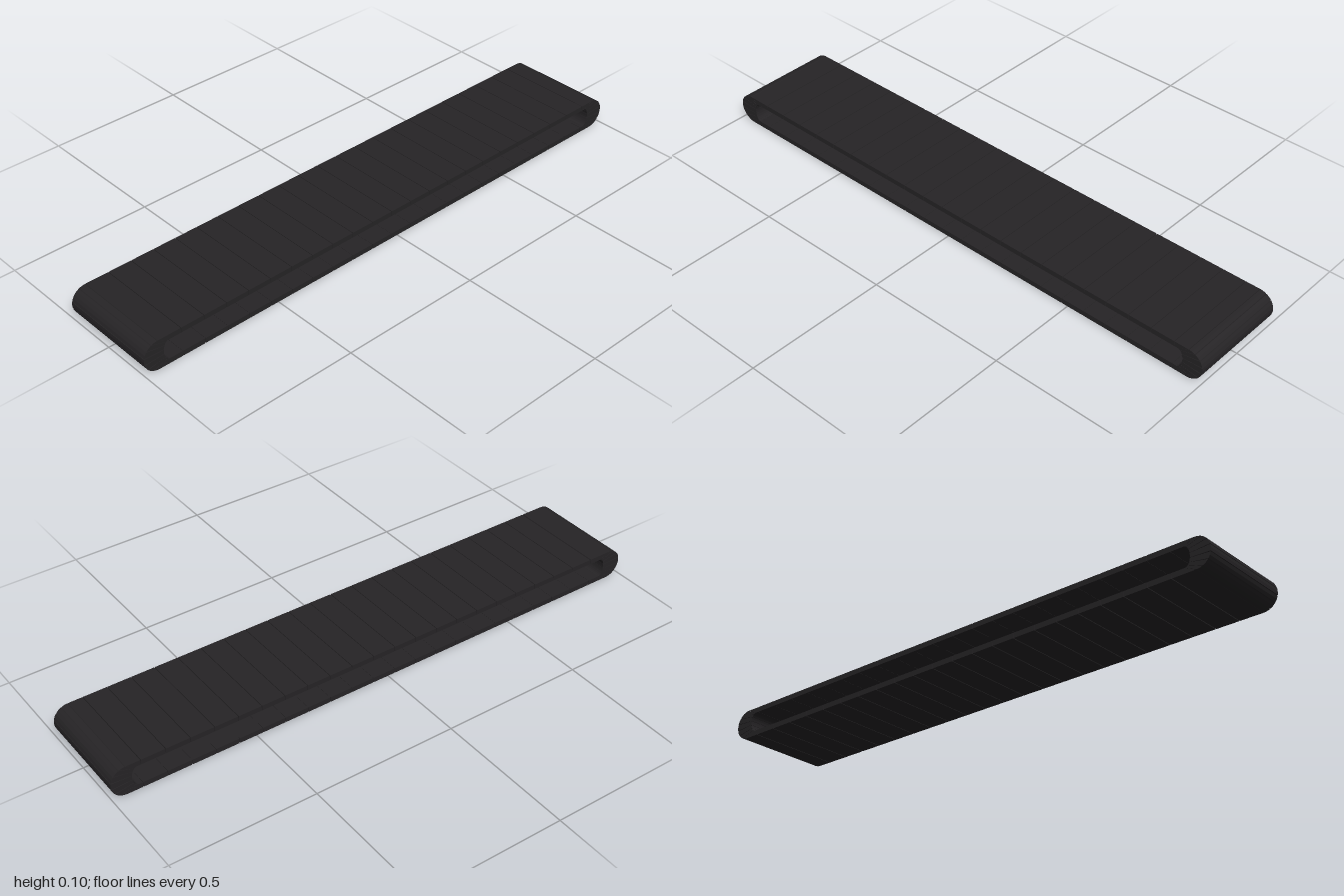
import * as THREE from 'three';

const H = 0.105, R = H / 2;        // loop height and end radius
const T = 0.018;                   // belt thickness on the straights
const END = 1 - R;                 // where the outer straights end
const INNER_END = 0.91;            // where the inner straights end
const INNER_RX = 0.019, INNER_RY = R - T;
const WIDTH = 0.355;               // along z
const PITCH = 0.0838;              // straight plate spacing
const GAP = 0.0012;                // half gap at the outer face of a seam
const ARC_PLATES = 7;

export function createModel() {
  const group = new THREE.Group();
  group.name = 'trackBelt';
  const material = new THREE.MeshStandardMaterial({ color: 0x262426 });

  // One plate: a side outline extruded across the belt width
  function addPlate(name, points) {
    const shape = new THREE.Shape(points.map(([x, y]) => new THREE.Vector2(x, y)));
    const geometry = new THREE.ExtrudeGeometry(shape, { depth: WIDTH, bevelEnabled: false });
    geometry.translate(0, 0, -WIDTH / 2);
    const mesh = new THREE.Mesh(geometry, material);
    mesh.name = name;
    group.add(mesh);
  }

  // Seam positions along the straights; the last plate is a narrow filler
  const seams = [];
  for (let x = -END; x < END - 0.01; x += PITCH) seams.push(x);
  seams.push(END);
  const inner = (x) => (Math.abs(x) > END - 1e-6 ? Math.sign(x) * INNER_END : x);

  // Upper and lower runs
  for (let i = 0; i < seams.length - 1; i++) {
    const a = seams[i], b = seams[i + 1];
    for (const [name, s] of [['upperPlate', 1], ['lowerPlate', -1]]) {
      addPlate(name, [
        [a + GAP, R + s * R],
        [b - GAP, R + s * R],
        [inner(b) - GAP / 3, R + s * INNER_RY],
        [inner(a) + GAP / 3, R + s * INNER_RY],
      ]);
    }
  }

  // Wedge plates around the two rounded ends
  const step = Math.PI / ARC_PLATES;
  for (const side of [-1, 1]) {
    const outerAt = (t) => [side * (END + R * Math.cos(t)), R + R * Math.sin(t)];
    const innerAt = (t) => [
      side * (INNER_END + INNER_RX * Math.cos(t)), R + INNER_RY * Math.sin(t),
    ];
    for (let i = 0; i < ARC_PLATES; i++) {
      const a = -Math.PI / 2 + i * step, b = a + step, g = GAP / R;
      addPlate(side > 0 ? 'leftEndPlate' : 'rightEndPlate', [
        outerAt(a + g), outerAt((a + b) / 2), outerAt(b - g),
        innerAt(b - g / 2), innerAt((a + b) / 2), innerAt(a + g / 2),
      ]);
    }
  }
  return group;
}
